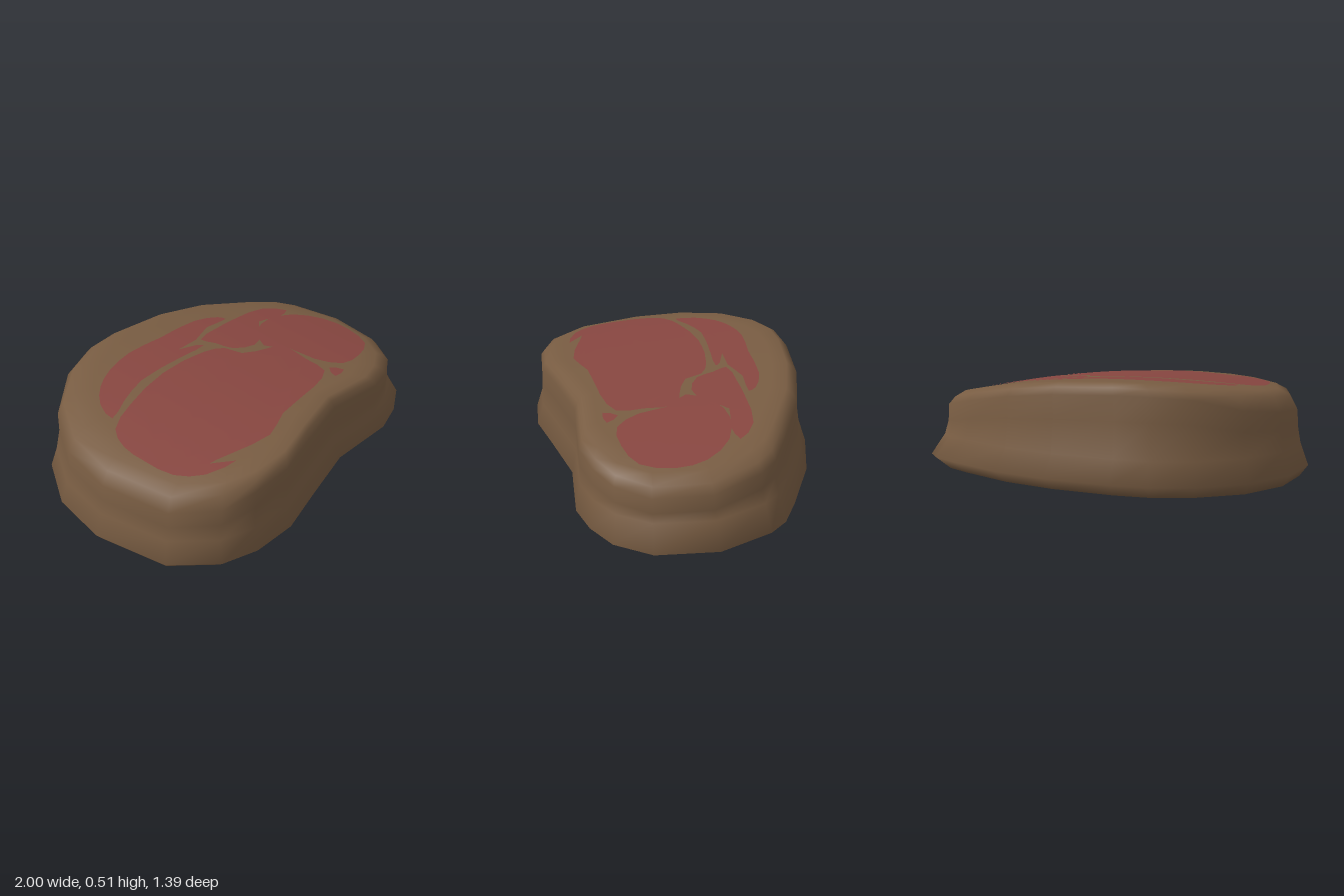
import * as THREE from 'three';
import { mergeVertices } from 'three/addons/utils/BufferGeometryUtils.js';

// Widest outline of the slab, as x, z pairs
const OUTLINE = [
  [-0.2, -0.7], [0.13, -0.65], [0.41, -0.56], [0.7, -0.4], [0.84, -0.31], [0.91, -0.22],
  [1, 0.04], [0.96, 0.33], [0.84, 0.49], [0.69, 0.57], [0.53, 0.61], [0.18, 0.58],
  [-0.13, 0.64], [-0.37, 0.69], [-0.59, 0.67], [-0.76, 0.6], [-0.93, 0.41], [-1, 0.04],
  [-0.95, -0.25], [-0.8, -0.49], [-0.58, -0.64], [-0.38, -0.7],
];

// Lean areas on each cut face, as x, z pairs
const LEAN = {
  upperBand: [
    [-0.68, -0.14], [-0.65, -0.25], [-0.56, -0.34], [-0.45, -0.39], [-0.29, -0.415], [-0.08, -0.39],
    [0.16, -0.375], [0.28, -0.32], [0.3, -0.28], [0.16, -0.29], [0.03, -0.25], [-0.1, -0.255],
    [0.0, -0.215], [0.02, -0.19], [-0.13, -0.2], [-0.4, -0.22], [-0.56, -0.18],
  ],
  sideBand: [
    [0.05, -0.235], [0.2, -0.25], [0.35, -0.25], [0.55, -0.23], [0.65, -0.14], [0.54, -0.12],
    [0.42, -0.15], [0.33, -0.06], [0.22, -0.015], [0.11, -0.07], [0.08, -0.16],
  ],
  mainMuscle: [
    [-0.775, 0.03], [-0.72, -0.08], [-0.56, -0.14], [-0.29, -0.18], [-0.02, -0.15], [0.08, -0.1],
    [0.11, -0.01], [0.24, 0.05], [0.325, 0.08], [0.315, 0.24], [0.3, 0.37], [0.14, 0.42],
    [-0.13, 0.44], [-0.29, 0.49], [-0.5, 0.435], [-0.61, 0.4], [-0.52, 0.48], [-0.67, 0.43],
    [-0.76, 0.32], [-0.78, 0.16],
  ],
  roundMuscle: [
    [0.25, 0.02], [0.35, -0.1], [0.48, -0.135], [0.64, -0.09], [0.75, 0.04], [0.77, 0.19],
    [0.71, 0.34], [0.57, 0.395], [0.43, 0.39], [0.35, 0.27], [0.33, 0.13],
  ],
  fleck: [[0.34, 0.37], [0.385, 0.43], [0.3, 0.435]],
};

const BASE = 0.009;
const topHeight = (x, z) => 0.485 - 0.05 * z - 0.11 * (x + 0.2) ** 2;

// Rings from the bottom centre, up the side and over to the top centre
function slabGeometry() {
  const rings = [];
  const add = (sx, sz, ox, oz, height) => rings.push(OUTLINE.map(([px, pz]) => {
    const x = px * sx + ox, z = pz * sz + oz;
    return [x, height(x, z), z];
  }));
  const rim = (x, z) => topHeight(x, z) - 0.055 - (x < -0.7 ? 0.03 : 0);
  for (const s of [0, 0.4, 0.8, 0.94]) add(s, s * 0.985, -0.02 * s, 0, () => BASE);
  add(1, 1, 0, 0, () => 0.065);
  add(0.94, 0.95, -0.02, 0, () => 0.175);
  add(0.925, 0.925, -0.02, 0.01, (x, z) => rim(x, z) * 0.75);
  add(0.92, 0.927, -0.02, 0.01, rim);
  add(0.885, 0.895, -0.02, 0.012, (x, z) => topHeight(x, z) - 0.022);
  for (let i = 8; i >= 0; i--) {
    const s = i / 8;
    add(0.825 * s, 0.855 * s, -0.02, 0.015, topHeight);
  }
  const n = OUTLINE.length, index = [];
  for (let r = 0; r < rings.length - 1; r++) {
    for (let j = 0; j < n; j++) {
      const a = r * n + j, b = r * n + (j + 1) % n;
      index.push(a, a + n, b, b, a + n, b + n);
    }
  }
  const geo = new THREE.BufferGeometry();
  geo.setAttribute('position', new THREE.Float32BufferAttribute(rings.flat(2), 3));
  geo.setIndex(index);
  geo.computeVertexNormals();
  return geo;
}

// Split every triangle into four, so a flat patch can follow the curved face
function subdivide(triangles) {
  return triangles.flatMap(([a, b, c]) => {
    const mid = (p, q) => p.clone().add(q).multiplyScalar(0.5);
    const ab = mid(a, b), bc = mid(b, c), ca = mid(c, a);
    return [[a, ab, ca], [ab, b, bc], [ca, bc, c], [ab, bc, ca]];
  });
}

// Thin patch laid on a cut face; points are x, z
function patchGeometry(points, height, faceDown) {
  const curve = new THREE.CatmullRomCurve3(
    points.map(([x, z]) => new THREE.Vector3(x, -z, 0)), true, 'centripetal');
  const outline = curve.getPoints(points.length * 2).slice(0, -1);
  const flat = new THREE.ShapeGeometry(
    new THREE.Shape(outline.map((p) => new THREE.Vector2(p.x, p.y)))).toNonIndexed();
  const pos = flat.attributes.position;
  let triangles = [];
  for (let i = 0; i < pos.count; i += 3) {
    triangles.push([0, 1, 2].map((k) => new THREE.Vector3().fromBufferAttribute(pos, i + k)));
  }
  for (let i = 0; i < 3; i++) triangles = subdivide(triangles);
  const coords = triangles.flatMap((t) => (faceDown ? [t[0], t[2], t[1]] : t))
    .flatMap((p) => [p.x, height(p.x, -p.y), -p.y]);
  const geo = new THREE.BufferGeometry();
  geo.setAttribute('position', new THREE.Float32BufferAttribute(coords, 3));
  const merged = mergeVertices(geo, 1e-5);
  merged.computeVertexNormals();
  return merged;
}

export function createModel() {
  const fat = new THREE.MeshStandardMaterial({ color: 0x785c42 });
  fat.name = 'brown fat';
  const lean = new THREE.MeshStandardMaterial({ color: 0x874640 });
  lean.name = 'red lean';

  const model = new THREE.Group();
  model.name = 'steak';
  const addMesh = (name, geometry, material) => {
    const mesh = new THREE.Mesh(geometry, material);
    mesh.name = name;
    model.add(mesh);
  };

  addMesh('slab', slabGeometry(), fat);
  // The same lean pattern runs through to both cut faces
  for (const [name, points] of Object.entries(LEAN)) {
    addMesh(name + 'Top', patchGeometry(points, (x, z) => topHeight(x, z) + 0.004, false), lean);
    addMesh(name + 'Bottom', patchGeometry(points, () => BASE - 0.008, true), lean);
  }
  return model;
}
